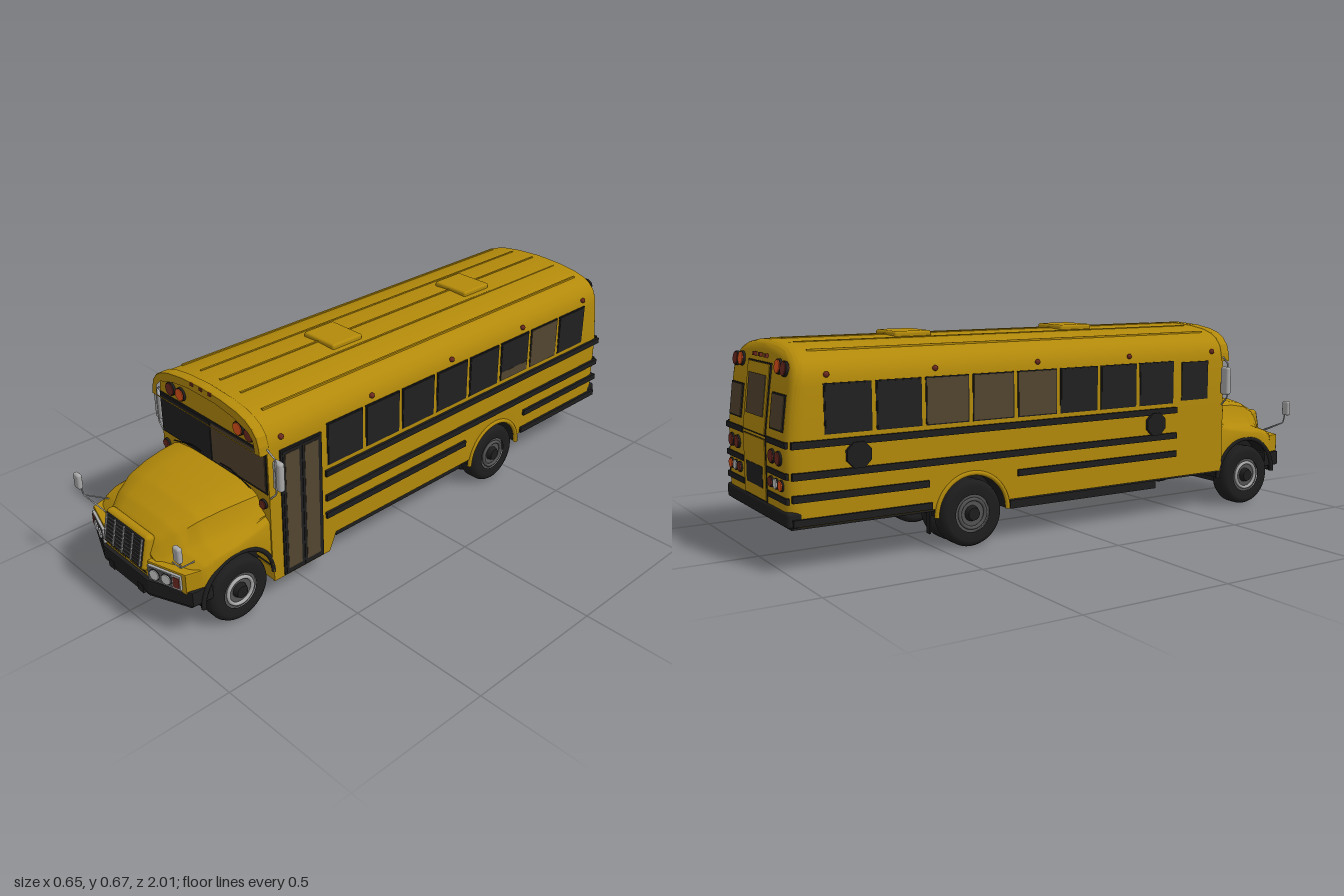
import * as THREE from 'three';
import { toCreasedNormals } from 'three/addons/utils/BufferGeometryUtils.js';
import { RoundedBoxGeometry } from 'three/addons/geometries/RoundedBoxGeometry.js';

const mat = (name, color, side = THREE.FrontSide) => Object.assign(new THREE.MeshStandardMaterial({ color, side }), { name });
const yellow = mat('yellow paint', 0xb2890a);
const black = mat('black trim', 0x1d1d1d);
const liner = mat('wheel well black', 0x1a1a1a, THREE.DoubleSide);
const glass = mat('dark glass', 0x202020);
const tint = mat('tinted glass', 0x52442f);
const silver = mat('silver', 0xa8a8a8);
const rimGrey = mat('rim grey', 0x525252);
const red = mat('red lens', 0x6e2a20);
const orange = mat('orange lens', 0xe2541c);
const lens = mat('clear lens', 0xc8c8c8);
const { clamp } = THREE.MathUtils;
const WHEEL_Y = 0.108, FRONT_Z = 0.77, REAR_Z = -0.394;
const vec2 = pts => pts.map(([x, y]) => new THREE.Vector2(x, y));
const mirrored = pts => vec2([...pts.map(([x, y]) => [-x, y]), ...pts.slice().reverse()]);
const steps = (a, b, n) => Array.from({ length: n + 1 }, (_, i) => a + (b - a) * i / n);
// lower body edge, raised to an arch over a wheel
const sill = (z, zc, r, base) => Math.abs(z - zc) < r ? Math.max(base, 0.11 + Math.sqrt(r * r - (z - zc) ** 2)) : base;

// skin through mirrored half sections (top centre down to sill), with end caps
function loft(zs, half) {
  const rings = zs.map(z => {
    const h = half(z);
    return [...h.slice(1).reverse().map(([x, y, pz]) => [-x, y, pz]), ...h];
  });
  const pos = [], n = rings[0].length, A = rings[0], B = rings[rings.length - 1];
  const quad = (a, b, c, d) => pos.push(...a, ...b, ...c, ...a, ...c, ...d);
  for (let i = 0; i + 1 < rings.length; i++)
    for (let j = 0; j + 1 < n; j++) quad(rings[i][j], rings[i + 1][j], rings[i + 1][j + 1], rings[i][j + 1]);
  for (let j = 0, k = n - 1; j < k; j++, k--) {
    quad(B[j], B[k], B[k - 1], B[j + 1]);
    quad(A[k], A[j], A[j + 1], A[k - 1]);
  }
  const g = new THREE.BufferGeometry();
  g.setAttribute('position', new THREE.Float32BufferAttribute(pos, 3));
  return toCreasedNormals(g, 0.6);
}

export function createModel() {
  const root = new THREE.Group(), bus = new THREE.Group();
  root.name = 'schoolBus';
  bus.name = 'bus';
  bus.rotation.y = -0.007;
  bus.position.x = 0.006;
  root.add(bus);
  const place = (obj, name, x, y, z, parent) => {
    obj.name = name;
    obj.position.set(x, y, z);
    parent.add(obj);
    return obj;
  };
  const add = (name, geo, material, x = 0, y = 0, z = 0, parent = bus) => place(new THREE.Mesh(geo, material), name, x, y, z, parent);
  const box = (name, material, w, h, d, x, y, z, parent) => add(name, new THREE.BoxGeometry(w, h, d), material, x, y, z, parent);
  const group = (name, x, y, z) => place(new THREE.Group(), name, x, y, z, bus);
  // round lamp facing along z (dir = 1 front, -1 rear)
  const lamp = (name, material, r, x, y, z, dir, parent) => {
    for (const [n, m, rr, t] of [[name + 'Rim', black, r * 1.15, 0.008], [name, material, r, 0.014]])
      add(n, new THREE.CylinderGeometry(rr, rr, t, 24), m, x, y, z, parent).rotation.x = dir * Math.PI / 2;
  };
  const rod = (name, material, r, pts) => {
    const path = new THREE.CurvePath(), v = pts.map(p => new THREE.Vector3(...p));
    for (let i = 1; i < v.length; i++) path.add(new THREE.LineCurve3(v[i - 1], v[i]));
    add(name, new THREE.TubeGeometry(path, 16, r, 6), material);
  };

  // passenger body with arched roof, rounded slanting rear
  const roof = [[0, 0.662], [0.1, 0.657], [0.17, 0.647], [0.21, 0.635], [0.24, 0.617], [0.26, 0.594], [0.269, 0.565], [0.272, 0.54]];
  add('body', loft([...steps(-0.995, -0.95, 8), ...steps(-0.94, 0.645, 130)], z => {
    const e = clamp((-0.95 - z) / 0.045, 0, 1), k = 0.03 * (1 - Math.sqrt(1 - e * e));
    const lean = clamp((-0.8 - z) / 0.195, 0, 1) * 0.12;
    return [...roof, [0.275, 0.38], [0.275, sill(z, REAR_Z, 0.125, 0.138)]].map(([x, y]) => [
      x * (1 - k / 0.275), y > 0.5 ? y - k * (y - 0.5) / 0.16 : y, z + lean * Math.max(0, y - 0.38)]);
  }), yellow);

  // brow over the windshield
  const brow = new THREE.Shape(mirrored(roof.slice().reverse()));
  brow.holes.push(new THREE.Path(mirrored([[0.25, 0.545], [0.243, 0.58], [0.22, 0.602], [0.15, 0.623], [0.07, 0.634]])));
  add('brow', new THREE.ExtrudeGeometry(brow, { depth: 0.02, bevelSize: 0.003, bevelThickness: 0.008, bevelSegments: 2 }), yellow, 0, 0, 0.645);
  for (const x of [-0.045, 0, 0.045]) box('roofMarker', red, 0.014, 0.01, 0.012, x, 0.656, 0.67);

  // roof ribs and hatches
  for (const x of [-0.2, -0.1, 0, 0.1, 0.2]) box('roofRib', yellow, 0.007, 0.008, 1.5, x, 0.661 - 0.55 * x * x, -0.15);
  for (const z of [-0.49, 0.14]) add('roofHatch', new RoundedBoxGeometry(0.145, 0.025, 0.13, 2, 0.008), yellow, 0.003, 0.662, z);

  // hood and fenders: z, half width, top, crown half width, fender height
  const hood = [[0.62, 0.27, 0.393, 0.235, 0.32], [0.7, 0.27, 0.391, 0.225, 0.3], [0.77, 0.274, 0.385, 0.212, 0.29],
    [0.84, 0.272, 0.372, 0.195, 0.282], [0.91, 0.266, 0.343, 0.168, 0.267], [0.95, 0.255, 0.315, 0.14, 0.25], [0.972, 0.235, 0.287, 0.12, 0.238]];
  add('hood', loft(steps(0.62, 0.972, 44), z => {
    const i = clamp(hood.findIndex(s => s[0] >= z), 1, hood.length - 1);
    const f = clamp((z - hood[i - 1][0]) / (hood[i][0] - hood[i - 1][0]), 0, 1);
    const [, w, t, h, fy] = hood[i].map((v, k) => hood[i - 1][k] + (v - hood[i - 1][k]) * f);
    const b = Math.min(sill(z, FRONT_Z, 0.135, z < FRONT_Z ? 0.138 : 0.175), fy - 0.025);
    const sweep = 0.33 * clamp((z - 0.85) / 0.12, 0, 1);
    return [[0, t], [h * 0.5, t - 0.003], [h * 0.8, t - 0.012], [h * 0.93, t - 0.025], [h + 0.004, fy + 0.012], [h + 0.02, fy],
      [w - 0.02, fy - 0.006], [w - 0.005, fy - 0.015], [w, fy - 0.024], [w, b]].map(([x, y]) => [x, y, z - sweep * Math.max(0, x - 0.12)]);
  }), yellow);

  // nose and bumper, extruded from a half plan outline
  const slab = (name, material, pts, y0, y1) => add(name, new THREE.ExtrudeGeometry(new THREE.Shape(mirrored(pts.map(([x, z]) => [x, -z]))),
    { depth: y1 - y0 - 0.008, bevelSize: 0.003, bevelThickness: 0.004, bevelSegments: 2 }), material, 0, y0 + 0.004).rotation.x = -Math.PI / 2;
  slab('nose', yellow, [[0.258, 0.9], [0.246, 0.943], [0.12, 0.98]], 0.172, 0.243);
  slab('frontBumper', black, [[0.266, 0.87], [0.262, 0.935], [0.12, 0.993]], 0.13, 0.181);
  slab('bumperLip', black, [[0.25, 0.87], [0.245, 0.93], [0.11, 0.985]], 0.114, 0.134);
  box('bumperStep', black, 0.12, 0.022, 0.006, 0, 0.133, 0.993);
  for (const s of [-1, 1]) box('towHook', black, 0.03, 0.028, 0.012, s * 0.08, 0.133, 0.992);

  // grille
  const grille = group('grille', 0, 0.26, 0.972);
  grille.rotation.x = -0.22;
  add('grilleSurround', new RoundedBoxGeometry(0.225, 0.118, 0.035, 3, 0.015), yellow, 0, 0, 0, grille);
  add('grilleOpening', new RoundedBoxGeometry(0.202, 0.096, 0.01, 2, 0.004), black, 0, 0, 0.015, grille);
  for (const x of steps(-0.095, 0.095, 4)) box('grilleBar', silver, 0.005, 0.088, 0.006, x, 0, 0.021, grille);
  for (const y of steps(-0.038, 0.038, 6)) box('grilleSlat', rimGrey, 0.19, 0.003, 0.004, 0, y, 0.02, grille);

  // windshield, wipers, warning lamps
  box('windshieldFrame', black, 0.538, 0.146, 0.006, 0, 0.467, 0.645);
  box('windshieldRight', glass, 0.259, 0.132, 0.006, -0.133, 0.467, 0.647);
  box('windshieldLeft', tint, 0.259, 0.132, 0.006, 0.133, 0.467, 0.647);
  for (const s of [-1, 1]) {
    box('noseVent', black, 0.085, 0.005, 0.004, s * 0.055, 0.19, 0.982);
    rod('wiper', black, 0.002, [[s * 0.2, 0.388, 0.655], [s * 0.1, 0.413, 0.655], [s * 0.05, 0.411, 0.655]]);
    lamp('warningLampOuter', red, 0.02, s * 0.2, 0.574, 0.65, 1);
    lamp('warningLampInner', orange, 0.02, s * 0.147, 0.574, 0.65, 1);
    lamp('turnSignal', red, 0.014, s * 0.25, 0.355, 0.65, 1);
    // headlight cluster
    const h = group('headlight', s * 0.178, 0.211, 0.97);
    h.rotation.y = s * 0.286;
    box('headlightBezel', silver, 0.12, 0.05, 0.01, 0, 0, 0, h);
    box('headlightRecess', rimGrey, 0.088, 0.042, 0.012, -s * 0.013, 0, 0, h);
    for (const x of [-0.034, 0.01]) lamp('headlamp', lens, 0.017, s * x, 0, 0.003, 1, h);
    box('sideMarker', red, 0.022, 0.036, 0.014, s * 0.046, 0, 0, h);
    // door mirrors and hood mirrors
    add('mirror', new RoundedBoxGeometry(0.038, 0.1, 0.022, 3, 0.009), silver, s * 0.304, 0.47, 0.63);
    rod('mirrorArm', silver, 0.003, [[s * 0.268, 0.555, 0.645], [s * 0.303, 0.53, 0.64], [s * 0.303, 0.41, 0.64], [s * 0.268, 0.375, 0.64]]);
    add('hoodMirror', new RoundedBoxGeometry(0.032, 0.054, 0.018, 3, 0.008), silver, s * 0.267, 0.342, 0.975);
    for (const [x, z] of [[0.18, 0.94], [0.22, 0.88]])
      rod('hoodMirrorArm', silver, 0.0025, [[s * x, 0.25, z], [s * 0.262, 0.287, 0.965], [s * 0.267, 0.33, 0.972]]);
    // side windows, some tinted
    for (let i = 0; i < 8; i++) {
      const z = 0.338 - i * 0.1635, tinted = s > 0 ? i === 6 : i > 2 && i < 6;
      box('windowFrame', black, 0.006, 0.148, 0.15, s * 0.272, 0.475, z);
      box('sideWindow', tinted ? tint : glass, 0.006, 0.14, 0.142, s * 0.2738, 0.475, z);
    }
    // rails along the sides and marker lamps
    for (const [y, z0, z1] of [[0.377, -0.985, 0.425], [0.287, -0.985, 0.425], [0.222, -0.23, 0.425], [0.222, -0.985, -0.55], [0.152, -0.985, -0.54]])
      box('rail', black, 0.012, 0.021, z1 - z0, s * 0.278, y, (z0 + z1) / 2);
    for (const z of [0.59, 0.22, -0.15, -0.52, -0.87]) add('sideMarkerLamp', new THREE.SphereGeometry(0.009, 10, 6), red, s * 0.271, 0.574, z);
    // wheel arches and inner well walls
    for (const [m, r, x, z] of [[yellow, 0.128, 0.274, REAR_Z], [black, 0.134, 0.268, FRONT_Z]]) {
      add('flare', new THREE.TorusGeometry(r, 0.008, 8, 32, Math.PI), m, s * x, 0.11, z).rotation.y = Math.PI / 2;
      add('wellWall', new THREE.CircleGeometry(r, 32, 0, Math.PI), liner, s * 0.195, 0.11, z).rotation.y = Math.PI / 2;
    }
  }
  box('windowLowerPane', tint, 0.006, 0.03, 0.142, 0.2744, 0.42, -0.4795);
  box('driverWindow', glass, 0.006, 0.135, 0.12, -0.2738, 0.475, 0.51);
  for (const z of [0.33, -0.78])
    add('stopArm', new THREE.CylinderGeometry(0.042, 0.042, 0.012, 8), black, -0.283, 0.335, z).rotation.set(0, Math.PI / 8, Math.PI / 2, 'ZYX');

  // entrance door with step well
  const well = new THREE.Shape(vec2([[-0.64, 0.15], [-0.64, 0.075], [-0.41, 0.075], [-0.38, 0.14], [-0.38, 0.15]]));
  add('stepSkirt', new THREE.ExtrudeGeometry(well, { depth: 0.01, bevelEnabled: false }), yellow, 0.265).rotation.y = Math.PI / 2;
  box('stepWell', black, 0.12, 0.07, 0.225, 0.205, 0.11, 0.525);
  box('stepFront', yellow, 0.12, 0.045, 0.004, 0.205, 0.1, 0.638);
  box('doorFrame', black, 0.006, 0.452, 0.162, 0.276, 0.306, 0.52);
  for (const z of [0.482, 0.558]) {
    box('doorLeaf', black, 0.008, 0.44, 0.072, 0.277, 0.306, z);
    box('doorGlass', tint, 0.006, 0.415, 0.054, 0.279, 0.308, z);
  }

  // rear end: emergency door, windows, lamps, bumper
  const rear = group('rearEnd', 0, 0.38, -0.995);
  rear.rotation.x = 0.119;
  const rearPane = (name, w, h, x, y, m) => {
    box(name + 'Frame', black, w + 0.008, h + 0.008, 0.006, x, y, 0, rear);
    box(name, m, w, h, 0.006, x, y, -0.002, rear);
  };
  rearPane('emergencyDoorUpper', 0.19, 0.21, 0, 0.11, yellow);
  box('rearDoorWindow', tint, 0.15, 0.125, 0.006, 0, 0.118, -0.004, rear);
  for (const s of [-1, 1]) {
    rearPane('rearWindow', 0.1, 0.1, s * 0.183, 0.085, tint);
    lamp('rearWarningOuter', red, 0.02, s * 0.212, 0.212, -0.002, -1, rear);
    lamp('rearWarningInner', orange, 0.02, s * 0.163, 0.215, -0.002, -1, rear);
    for (const x of [0.155, 0.21]) lamp('tailLamp', red, 0.019, s * x, 0.333, -0.997, -1);
    [red, lens, orange].forEach((m, i) => lamp('lowerLamp', m, 0.015, s * (0.14 + i * 0.042), 0.255, -0.996, -1));
    for (const y of [0.377, 0.287, 0.215]) box('rearRail', black, 0.16, 0.018, 0.01, s * 0.185, y, -0.994);
  }
  for (const x of [-0.05, 0, 0.05]) box('rearMarker', red, 0.016, 0.012, 0.012, x, 0.238, 0, rear);
  box('emergencyDoorFrame', black, 0.2, 0.19, 0.004, 0, 0.278, -0.995);
  box('emergencyDoorLower', yellow, 0.19, 0.185, 0.004, 0, 0.279, -0.997);
  box('lowerDoorWindow', glass, 0.145, 0.065, 0.004, 0, 0.255, -0.998);
  add('rearBumper', new RoundedBoxGeometry(0.55, 0.048, 0.05, 2, 0.01), black, 0, 0.16, -0.975);

  // underbody, frame, axles and wheel wells
  const under = (w, y0, y1, z0, z1, x = 0) => box('underbody', black, w, y1 - y0, z1 - z0, x, (y0 + y1) / 2, (z0 + z1) / 2);
  for (const [z0, z1] of [[-0.985, -0.525], [-0.265, 0.635]]) under(0.53, 0.13, 0.145, z0, z1);
  under(0.46, 0.12, 0.18, 0.9, 0.93);
  under(0.3, 0.1, 0.14, -0.8, -0.55);
  for (const s of [-1, 1]) {
    under(0.03, 0.1, 0.14, -0.8, 0.93, s * 0.1);
    under(0.1, 0.1, 0.14, -0.24, 0.36, s * 0.2);
    under(0.02, 0.05, 0.14, -0.525, -0.52, s * 0.22);
  }
  for (const z of [-0.15, 0.05, 0.25]) under(0.5, 0.105, 0.135, z - 0.015, z + 0.015);
  box('frontAxle', black, 0.42, 0.045, 0.05, 0, 0.085, FRONT_Z);
  box('rearAxle', black, 0.42, 0.05, 0.05, 0, WHEEL_Y, REAR_Z);
  add('differential', new THREE.SphereGeometry(0.05, 16, 10), black, 0, WHEEL_Y, REAR_Z);
  for (const [z, r] of [[REAR_Z, 0.125], [FRONT_Z, 0.134]])
    add('wheelWell', new THREE.CylinderGeometry(r, r, 0.53, 32, 1, true, 0, Math.PI), liner, 0, 0.11, z).rotation.z = Math.PI / 2;

  // wheels, doubled at the rear
  const tyre = vec2([[0.06, -0.034], [0.088, -0.038], [0.102, -0.032], [0.108, -0.02], [0.108, 0.02], [0.102, 0.032], [0.088, 0.038], [0.06, 0.034]]);
  const wheel = (s, x, z, ring) => {
    const g = group('wheel', s * x, WHEEL_Y, z);
    g.rotation.z = -s * Math.PI / 2;
    add('tyre', new THREE.LatheGeometry(tyre, 40), black, 0, 0, 0, g);
    add('rim', new THREE.CylinderGeometry(0.062, 0.062, 0.056, 32), rimGrey, 0, 0, 0, g);
    add('rimRing', new THREE.TorusGeometry(0.046, 0.006, 8, 32), ring, 0, 0.033, 0, g).rotation.x = Math.PI / 2;
    add('hub', new THREE.CylinderGeometry(0.02, 0.03, 0.03, 20), black, 0, 0.03, 0, g);
  };
  for (const s of [-1, 1]) {
    wheel(s, 0.238, FRONT_Z, silver);
    for (const x of [0.147, 0.238]) wheel(s, x, REAR_Z, rimGrey);
  }
  return root;
}
